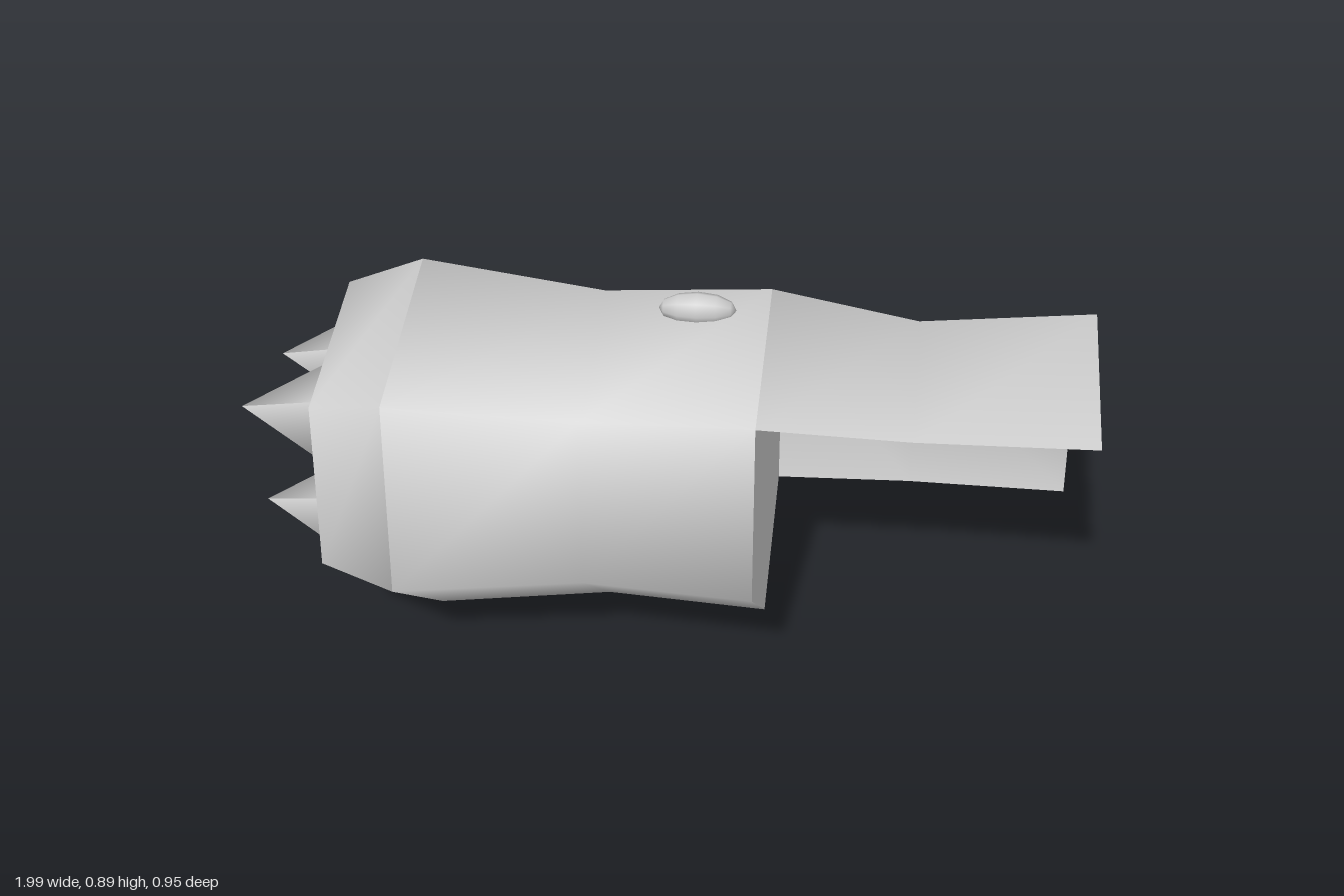
import * as THREE from 'three';

// Sections along the sleeve: [position, radius]
const collar = [[-0.763, 0.39], [-0.578, 0.455]];
const sleeve = [[-0.578, 0.455], [-0.141, 0.396], [0.251, 0.416]];
const guard = [[0.251, 0.416], [0.59, 0.354], [0.985, 0.389]];

// Hexagon corners start at 45 degrees in the z-y plane
const angle = (j) => Math.PI / 4 + (j * Math.PI) / 3;

// Smooth hexagonal skin through the sections, covering the given number of sides
function skin(sections, sides) {
  const pos = [], index = [];
  const n = sides === 6 ? 6 : sides + 1;
  for (const [x, r] of sections)
    for (let j = 0; j < n; j++) pos.push(x, r * Math.sin(angle(j)), r * Math.cos(angle(j)));
  for (let i = 0; i < sections.length - 1; i++)
    for (let j = 0; j < sides; j++) {
      const k = (j + 1) % n;
      const a = i * n + j, b = a + n, c = (i + 1) * n + k, d = i * n + k;
      index.push(a, b, c, a, c, d);
    }
  const g = new THREE.BufferGeometry();
  g.setAttribute('position', new THREE.Float32BufferAttribute(pos, 3));
  g.setIndex(index);
  g.computeVertexNormals();
  return g;
}

// Flat hexagonal end plate
function plate([x, r]) {
  const pts = [];
  for (let j = 0; j < 6; j++)
    pts.push(new THREE.Vector2(-r * Math.cos(angle(j)), r * Math.sin(angle(j))));
  return new THREE.ShapeGeometry(new THREE.Shape(pts)).rotateY(Math.PI / 2).translate(x, 0, 0);
}

export function createModel() {
  const model = new THREE.Group();
  const gray = new THREE.MeshStandardMaterial({ color: 0xcccccc, side: THREE.DoubleSide });
  gray.name = 'gray';

  // The whole sleeve leans slightly off the x axis
  const body = new THREE.Group();
  body.name = 'gauntlet';
  body.position.set(0, 0.466, -0.013);
  body.rotation.set(0, 0.087, 0.04);
  model.add(body);

  const add = (name, geometry) => {
    const mesh = new THREE.Mesh(geometry, gray);
    mesh.name = name;
    body.add(mesh);
    return mesh;
  };

  add('collar', skin(collar, 6));
  add('sleeve', skin(sleeve, 6));
  add('halfGuard', skin(guard, 3));
  add('spikeEndPlate', plate(collar[0]));
  add('guardEndPlate', plate(sleeve[2]));

  // Four spikes on the collar end: [y, z]
  const spike = new THREE.ConeGeometry(0.135, 0.235, 4).rotateY(Math.PI / 4).rotateZ(Math.PI / 2);
  for (const [y, z] of [[0.175, 0.148], [-0.125, 0.125], [0.135, -0.135], [-0.145, -0.16]])
    add('spike', spike).position.set(-0.868, y, z);

  // Three studs around the back: [angle in degrees, distance from axis]
  const stud = new THREE.SphereGeometry(1, 8, 6).rotateZ(Math.PI / 2).scale(0.09, 0.04, 0.04);
  for (const [deg, r] of [[96, 0.385], [135, 0.36], [174, 0.385]]) {
    const t = THREE.MathUtils.degToRad(deg);
    add('stud', stud).position.set(0.085, r * Math.sin(t), r * Math.cos(t));
  }
  return model;
}
